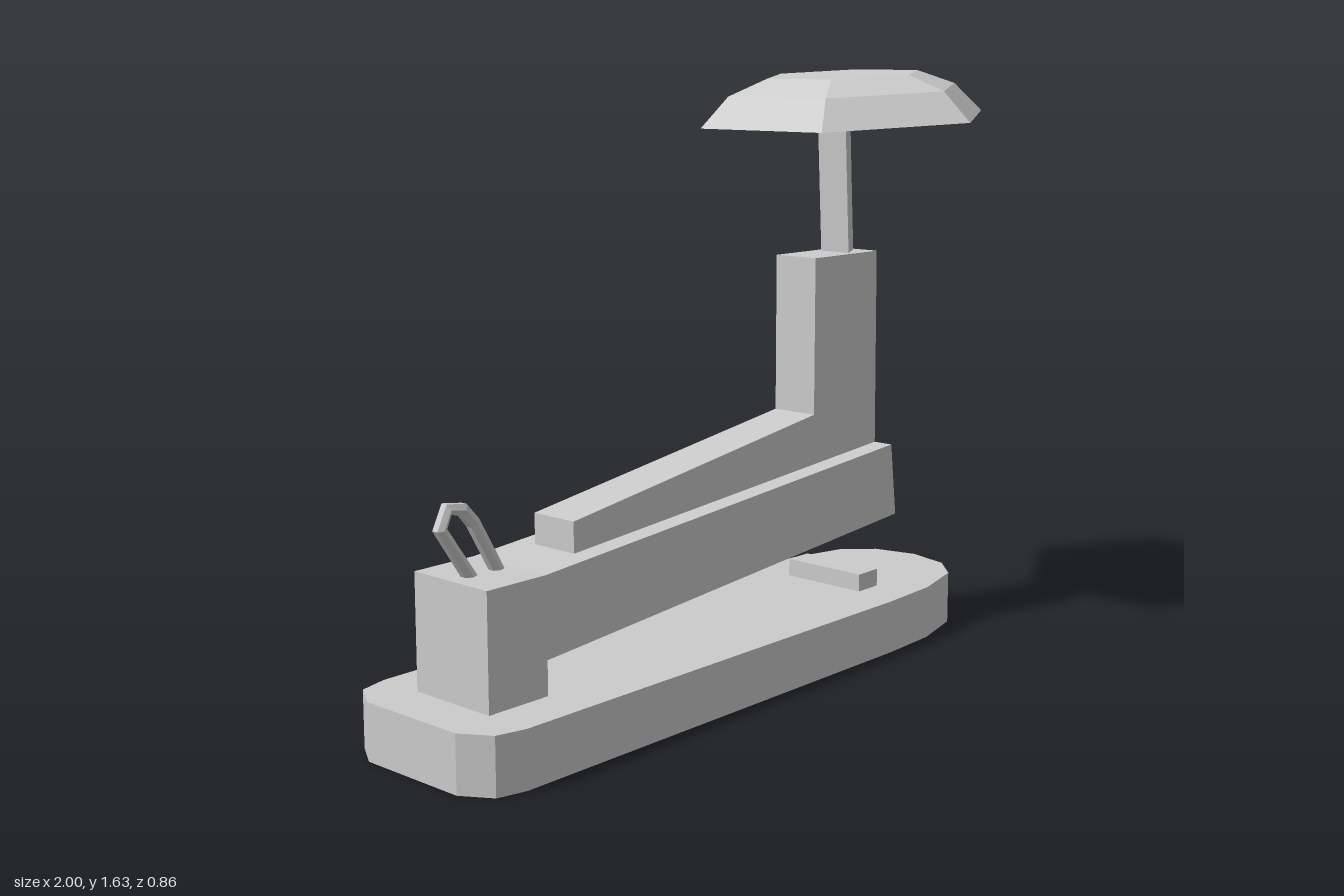
import * as THREE from 'three';

const material = new THREE.MeshStandardMaterial({ color: 0xcccccc, flatShading: true });

function add(group, name, geometry) {
  const mesh = new THREE.Mesh(geometry, material);
  mesh.name = name;
  group.add(mesh);
  return mesh;
}

// Side profile in x/y, extruded symmetrically about z = 0
function slab(points, width) {
  const shape = new THREE.Shape(points.map(([x, y]) => new THREE.Vector2(x, y)));
  return new THREE.ExtrudeGeometry(shape, { depth: width, bevelEnabled: false })
    .translate(0, 0, -width / 2);
}

export function createModel() {
  const model = new THREE.Group();
  model.name = 'stapler';

  // Base plate: half outline mirrored in z, chamfered back and rounded nose
  const half = [[-1, 0.16], [-0.95, 0.24], [-0.87, 0.26], [0.53, 0.26],
    [0.72, 0.25], [0.89, 0.205], [0.97, 0.125]];
  const outline = [...half, [1, 0], ...half.map(([x, z]) => [x, -z]).reverse()];
  add(model, 'base', slab(outline, 0.15).rotateX(-Math.PI / 2).translate(0, 0.075, 0));

  // Anvil plate under the nose of the arm
  add(model, 'anvil', new THREE.BoxGeometry(0.085, 0.05, 0.26).translate(0.593, 0.175, 0));

  // Lower arm with its rear foot
  add(model, 'lowerArm', slab([[-0.87, 0.15], [-0.68, 0.15], [-0.68, 0.24], [0.72, 0.35],
    [0.695, 0.56], [-0.68, 0.452], [-0.87, 0.452]], 0.26));

  // Narrow upper arm rising into a column
  add(model, 'upperArm', slab([[-0.53, 0.463], [0.695, 0.56], [0.69, 1.12], [0.41, 1.12],
    [0.41, 0.68], [-0.53, 0.545]], 0.14));

  // Tilted plunger: triangular rod and faceted hexagonal cap
  const plunger = new THREE.Group();
  plunger.name = 'plunger';
  plunger.position.set(0.62, 1.494, 0);
  plunger.rotation.z = THREE.MathUtils.degToRad(3.3);
  model.add(plunger);
  add(plunger, 'rod', new THREE.CylinderGeometry(0.057, 0.057, 0.42, 3)
    .rotateY(Math.PI / 2).translate(-0.028, -0.2, 0));
  const capProfile = [[0, 0], [0.428, 0], [0.344, 0.083], [0.228, 0.126], [0, 0.126]];
  add(plunger, 'cap', new THREE.LatheGeometry(
    capProfile.map(([r, y]) => new THREE.Vector2(r, y)), 6));

  // Bent wire loop at the rear
  const wire = [[-0.795, 0.43], [-0.897, 0.58], [-0.875, 0.627], [-0.828, 0.618],
    [-0.795, 0.58], [-0.71, 0.43]];
  const path = new THREE.CatmullRomCurve3(wire.map(([x, y]) => new THREE.Vector3(x, y, 0)));
  path.getPointAt = path.getPoint; // one ring exactly at each bend
  path.getTangentAt = path.getTangent;
  add(model, 'wireLoop', new THREE.TubeGeometry(path, wire.length - 1, 0.018, 6));

  return model;
}
